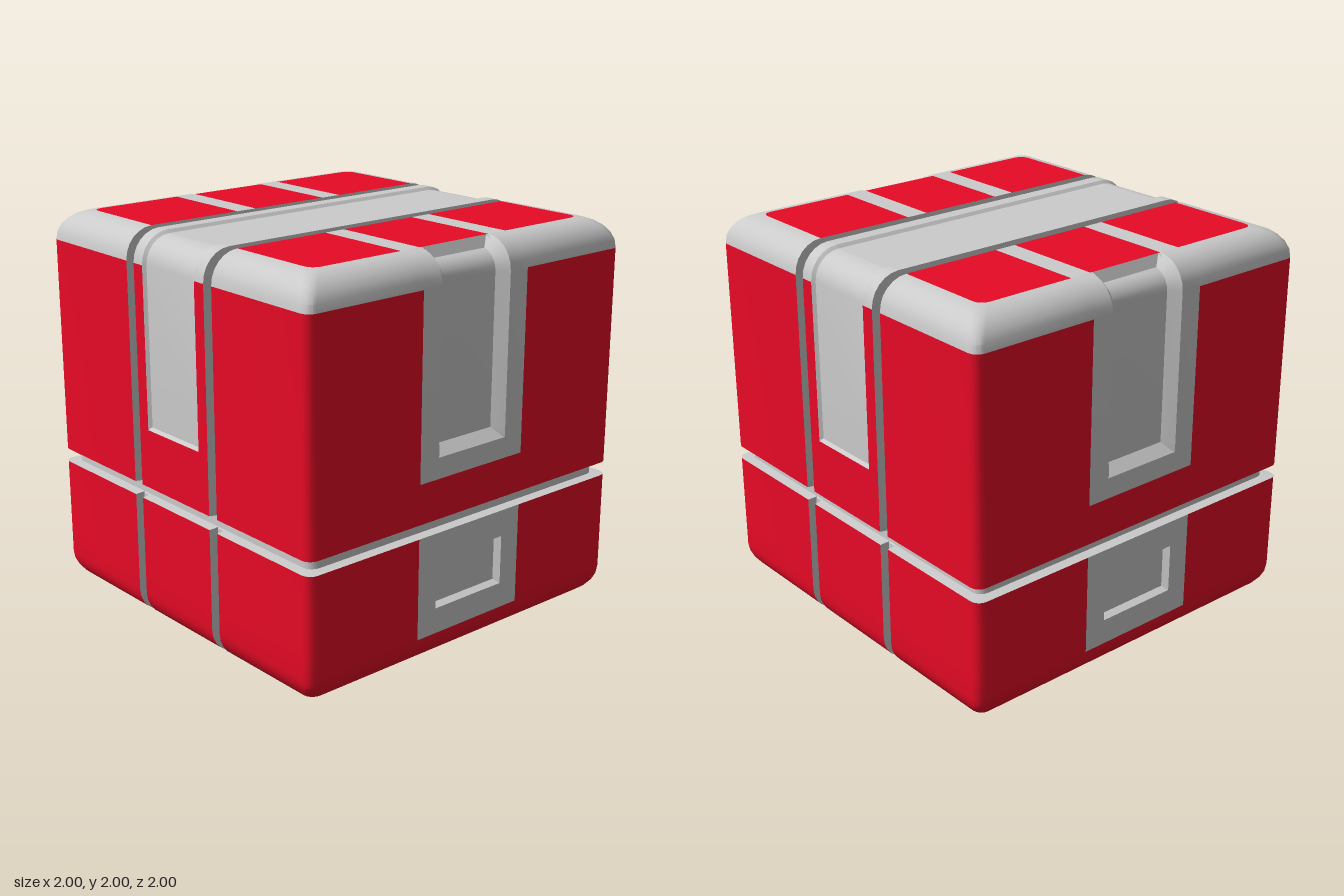
import * as THREE from 'three';
import { toCreasedNormals } from 'three/addons/utils/BufferGeometryUtils.js';

const RED = new THREE.MeshStandardMaterial({ color: 0xe80a26 });
const GREY = new THREE.MeshStandardMaterial({ color: 0xcccccc });
const EDGE = 0.15, CORNER = 0.05, FLAT = 1 - EDGE;

const ramp = (t) => Math.min(1, Math.max(0, t));
// Trough of half-width w, with walls of width s, sunk by depth
const dip = (t, w, s, depth) => depth * ramp((w - Math.abs(t)) / s);
const mirrored = (list) => [...list.map((v) => -v), ...list].sort((a, b) => a - b);
const groove = (x) => dip(Math.abs(x) - 0.305, 0.03, 0.005, 0.045);
const tape = (x) => dip(x, 0.205, 0.015, 0.015);

// Grid of points { p, depth, a, b }, split into one red and one grey mesh
function sheet(name, nu, nv, pointAt, isRed) {
  const pts = [];
  for (let j = 0; j < nv; j++) {
    pts.push([]);
    for (let i = 0; i < nu; i++) pts[j].push(pointAt(i, j));
  }
  const out = { Red: [], Grey: [] };
  const v1 = new THREE.Vector3(), v2 = new THREE.Vector3();
  for (let j = 0; j < nv - 1; j++) {
    for (let i = 0; i < nu - 1; i++) {
      const A = pts[j][i], B = pts[j][i + 1], C = pts[j + 1][i + 1], D = pts[j + 1][i];
      const depth = Math.max(A.depth, B.depth, C.depth, D.depth);
      const red = isRed((A.a + B.a + C.a + D.a) / 4, (A.b + B.b + C.b + D.b) / 4, depth, A.side);
      // Split along the mitre of sunken corners
      const tris = Math.abs(A.depth - C.depth) > Math.abs(B.depth - D.depth)
        ? [[A, B, C], [A, C, D]] : [[A, B, D], [B, C, D]];
      for (const t of tris) {
        v1.subVectors(t[1].p, t[0].p);
        v2.subVectors(t[2].p, t[0].p);
        if (v1.cross(v2).length() < 1e-9) continue;
        for (const q of t) out[red ? 'Red' : 'Grey'].push(q.p.x, q.p.y, q.p.z);
      }
    }
  }
  const group = new THREE.Group();
  group.name = name;
  for (const [key, material] of [['Red', RED], ['Grey', GREY]]) {
    if (!out[key].length) continue;
    const g = new THREE.BufferGeometry();
    g.setAttribute('position', new THREE.Float32BufferAttribute(out[key], 3));
    const mesh = new THREE.Mesh(toCreasedNormals(g, 0.5), material);
    mesh.name = name + key;
    group.add(mesh);
  }
  return group;
}

// Depth of the wall surface: strap channels and tape on front and back, grips on the sides
function wallDepth(side, a, y) {
  const seam = dip(y - 0.7, 0.035, 0.005, 0.05);
  if (side % 2 === 0) {
    return Math.max(seam, groove(a), tape(a) * ramp((y - 1.035) / 0.015));
  }
  const grip = 0.05 * Math.min(ramp((0.22 - Math.abs(a)) / 0.05), ramp((y - 1.04) / 0.05), ramp((1.9999 - y) / 0.003));
  const socket = 0.035 * Math.min(ramp((0.22 - Math.abs(a)) / 0.015), ramp((0.125 - Math.abs(y - 0.405)) / 0.015));
  return Math.max(seam, grip, socket);
}

function makeWalls() {
  // Rows run up the profile: bottom rounding, straight wall, top rounding
  const rows = [];
  const arc = (centre, from) => {
    for (let k = 0; k <= 6; k++) {
      const t = from + (k / 6) * Math.PI / 2;
      rows.push({ h: FLAT + EDGE * Math.cos(t), y: centre + EDGE * Math.sin(t), nx: Math.cos(t), ny: Math.sin(t) });
    }
  };
  arc(EDGE, -Math.PI / 2);
  for (const y of [0.28, 0.295, 0.515, 0.53, 0.665, 0.67, 0.73, 0.735, 0.935, 1.035, 1.04, 1.05, 1.09]) {
    rows.push({ h: 1, y, nx: 1, ny: 0 });
  }
  arc(2 - EDGE, 0);

  // Columns run round the four sides, each followed by its corner
  const cols = [];
  const nodes = [[0.335, 0.33, 0.28, 0.275, 0.205, 0.19], [0.335, 0.22, 0.205, 0.17]].map(mirrored);
  for (let side = 0; side < 4; side++) {
    for (const a of nodes[side % 2]) cols.push({ side, a });
    for (let k = 0; k <= 4; k++) cols.push({ side, a: 1.5, t: k * Math.PI / 8 });
  }
  cols.push(cols[0]);

  const pointAt = (i, j) => {
    const { side, a, t } = cols[i], r = rows[j];
    const depth = wallDepth(side, a, r.y);
    const h = r.h - depth * r.nx, c = h - CORNER;
    let x = a, z = h;
    if (t !== undefined) {
      x = c + CORNER * Math.sin(t);
      z = c + CORNER * Math.cos(t);
    }
    for (let k = 0; k < side; k++) [x, z] = [z, -x];
    return { p: new THREE.Vector3(x, r.y - depth * r.ny, z), depth, a, b: r.y, side };
  };
  const isRed = (a, y, depth, side) => {
    if (depth > 0.001 || y > 2 - EDGE) return false;
    const patch = side % 2 === 1 && Math.abs(a) < 0.335 && (y > 0.935 || (y > 0.15 && y < 0.665));
    return !patch;
  };
  return sheet('walls', cols.length, rows.length, pointAt, isRed);
}

// Flat end of the box with rounded corners; dir is 1 for the lid and -1 for the base
function makeCap(name, dir, xInner, zInner, depthAt, isRed) {
  const round = [0, 1, 2, 3, 4].map((k) => FLAT - CORNER + CORNER * Math.sin(k * Math.PI / 8));
  const xs = mirrored([...xInner, ...round]), zs = mirrored([...zInner, FLAT]);
  if (dir > 0) zs.reverse();
  const pointAt = (i, j) => {
    const x = xs[i], over = Math.max(0, Math.abs(x) - FLAT + CORNER);
    const limit = FLAT - CORNER + Math.sqrt(Math.max(0, CORNER * CORNER - over * over));
    const z = Math.sign(zs[j]) * Math.min(Math.abs(zs[j]), limit);
    const onRim = Math.abs(z) > limit - 1e-6 || Math.abs(x) > FLAT - 1e-6;
    const depth = depthAt(x, z, onRim);
    return { p: new THREE.Vector3(x, (dir > 0 ? 2 : 0) - dir * depth, z), depth, a: x, b: z };
  };
  return sheet(name, xs.length, zs.length, pointAt, isRed);
}

export function createModel() {
  const group = new THREE.Group();
  group.name = 'crate';
  group.add(makeWalls());

  const strapX = [0.335, 0.33, 0.28, 0.275, 0.205, 0.19];
  const isBand = (z) => Math.abs(z) > 0.22 && Math.abs(z) < 0.335;

  // Lid with six red panels, channels and a sunken tape strip
  group.add(makeCap('lid', 1, strapX, [0.335, 0.22],
    (x) => Math.max(groove(x), tape(x)),
    (x, z) => Math.abs(x) > 0.335 && !isBand(z)));

  // Base with a sunken floor, two short channels and a central socket
  const baseDepth = (x, z, onRim) => {
    if (onRim) return groove(x);
    const ax = Math.abs(x), az = Math.abs(z);
    const channel = 0.02 + groove(x) * 0.6 * ramp((0.385 - az) / 0.005);
    const socket = 0.07 * Math.min(ramp((0.2 - ax) / 0.03), ramp((0.29 - az) / 0.03));
    return Math.max(0.02, channel, socket);
  };
  group.add(makeCap('base', -1, [...strapX, 0.83, 0.2, 0.17],
    [0.83, 0.385, 0.38, 0.335, 0.29, 0.26, 0.22], baseDepth,
    (x, z) => Math.abs(x) > 0.335 && Math.abs(x) < 0.83 && isBand(z)));
  return group;
}
